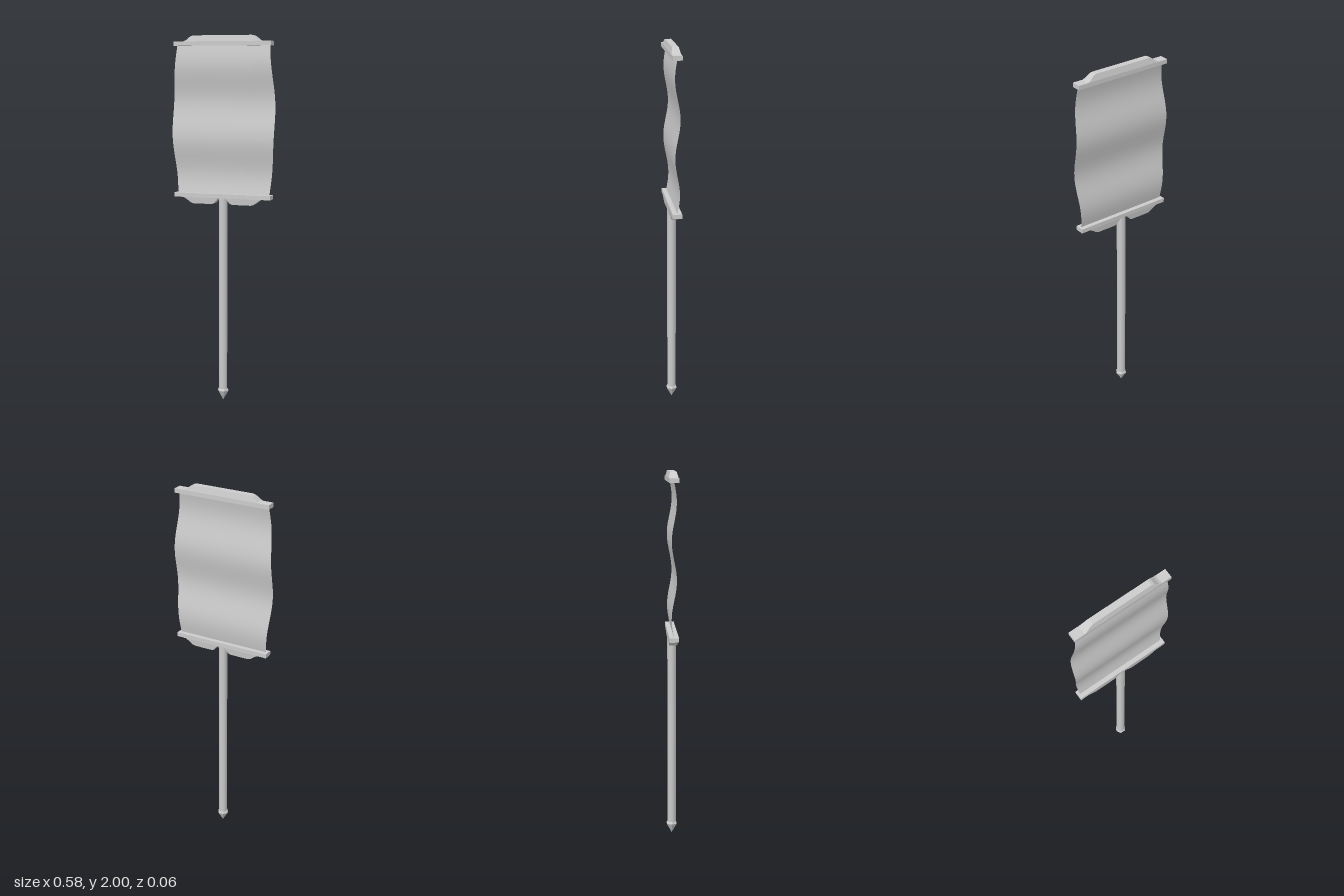
import * as THREE from 'three';

const grey = (extra = {}) => new THREE.MeshStandardMaterial({ color: 0xcccccc, ...extra });

function add(parent, name, geometry, material, y = 0) {
  const mesh = new THREE.Mesh(geometry, material);
  mesh.name = name;
  mesh.position.y = y;
  parent.add(mesh);
  return mesh;
}

// Carved crest: an outline extruded through z, thinner the further it is from the rail
function crest(points, halfBase, halfEdge, height) {
  const shape = new THREE.Shape(points.map(([x, y]) => new THREE.Vector2(x, y)));
  const geo = new THREE.ExtrudeGeometry(shape, { depth: 2, bevelEnabled: false });
  const p = geo.attributes.position;
  for (let i = 0; i < p.count; i++) {
    const t = Math.min(1, Math.abs(p.getY(i)) / height);
    p.setZ(i, (p.getZ(i) - 1) * THREE.MathUtils.lerp(halfBase, halfEdge, t));
  }
  geo.computeVertexNormals();
  return geo;
}

// Wavy sheet that bulges at mid height
function sheetGeometry(height) {
  const geo = new THREE.PlaneGeometry(2, height, 4, 48);
  const p = geo.attributes.position;
  for (let i = 0; i < p.count; i++) {
    const t = 0.5 - p.getY(i) / height; // 0 at the top, 1 at the bottom
    const half = 0.262 + 0.028 * Math.pow(Math.max(0, Math.sin(Math.PI * t)), 1.2);
    p.setX(i, p.getX(i) * half);
    p.setZ(i, 0.013 * Math.sin(4 * Math.PI * t));
  }
  geo.computeVertexNormals();
  return geo;
}

export function createModel() {
  const group = new THREE.Group();
  group.name = 'bannerSign';

  // Pole with a pointed hexagonal foot
  add(group, 'pole', new THREE.CylinderGeometry(0.024, 0.024, 1.08, 8), grey(), 0.595);
  const foot = new THREE.LatheGeometry(
    [[0, 0], [0.032, 0.054], [0.026, 0.066], [0, 0.066]].map(([r, y]) => new THREE.Vector2(r, y)),
    6, Math.PI / 2);
  add(group, 'spike', foot, grey({ flatShading: true }));

  // Sheet stretched between two rails
  add(group, 'sheet', sheetGeometry(0.8), grey({ side: THREE.DoubleSide }), 1.55);
  for (const [name, y] of [['topRail', 1.957], ['bottomRail', 1.141]]) {
    add(group, name, new THREE.BoxGeometry(0.548, 0.023, 0.05), grey(), y);
  }

  // Top crest
  const half = [[0.22, 0], [0.205, 0.006], [0.18, 0.027], [0.165, 0.032]];
  const outline = [...half, ...half.map(([x, y]) => [-x, y]).reverse()];
  add(group, 'topCrest', crest(outline, 0.025, 0.017, 0.032), grey(), 1.968);

  // Two lobes under the bottom rail, either side of the pole
  const lobe = [[0.02, 0], [0.03, -0.01], [0.045, -0.029], [0.06, -0.034],
    [0.165, -0.034], [0.18, -0.029], [0.205, -0.01], [0.222, 0]];
  for (const side of [1, -1]) {
    const pts = lobe.map(([x, y]) => [x * side, y]);
    add(group, side > 0 ? 'leftLobe' : 'rightLobe', crest(pts, 0.025, 0.021, 0.034), grey(), 1.13);
  }
  return group;
}
